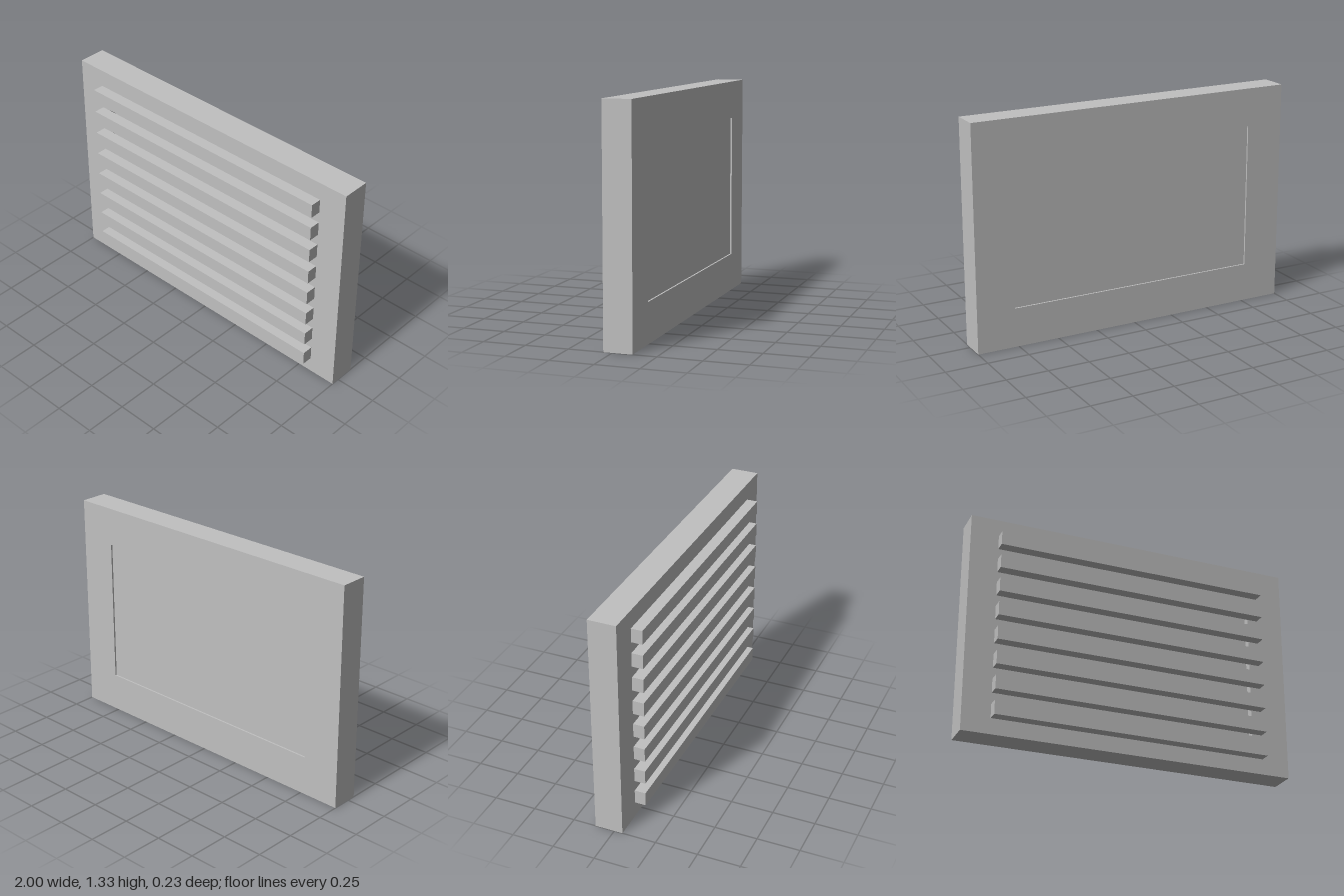
import * as THREE from 'three';

export function createModel() {
  const group = new THREE.Group();
  const grey = new THREE.MeshStandardMaterial({ color: 0xc0c0c0 });
  grey.name = 'light grey';

  const add = (name, geometry, x, y, z) => {
    const mesh = new THREE.Mesh(geometry, grey);
    mesh.name = name;
    mesh.position.set(x, y, z);
    group.add(mesh);
  };

  const height = 1.333, back = -0.115, front = 0.05;
  const openX = 0.77, openBottom = 0.233, openTop = 1.105;

  // Frame: a rectangular slab with a rectangular opening
  const outline = new THREE.Shape([
    new THREE.Vector2(-1, 0), new THREE.Vector2(1, 0),
    new THREE.Vector2(1, height), new THREE.Vector2(-1, height),
  ]);
  outline.holes.push(new THREE.Path([
    new THREE.Vector2(-openX, openBottom), new THREE.Vector2(-openX, openTop),
    new THREE.Vector2(openX, openTop), new THREE.Vector2(openX, openBottom),
  ]));
  add('frame', new THREE.ExtrudeGeometry(outline, { depth: front - back, bevelEnabled: false }), 0, 0, back);

  // Panel filling the opening, set back from both faces of the frame
  const panelBack = back + 0.01, panelFront = front - 0.04;
  add('panel', new THREE.BoxGeometry(openX * 2, openTop - openBottom, panelFront - panelBack),
    0, (openTop + openBottom) / 2, (panelFront + panelBack) / 2);

  // Horizontal slats across the front
  const slat = new THREE.BoxGeometry(1.664, 0.083, 0.067);
  for (let i = 0; i < 8; i++) add(`slat${i + 1}`, slat, 0, 0.136 + i * 0.15, front + 0.0325);

  return group;
}
